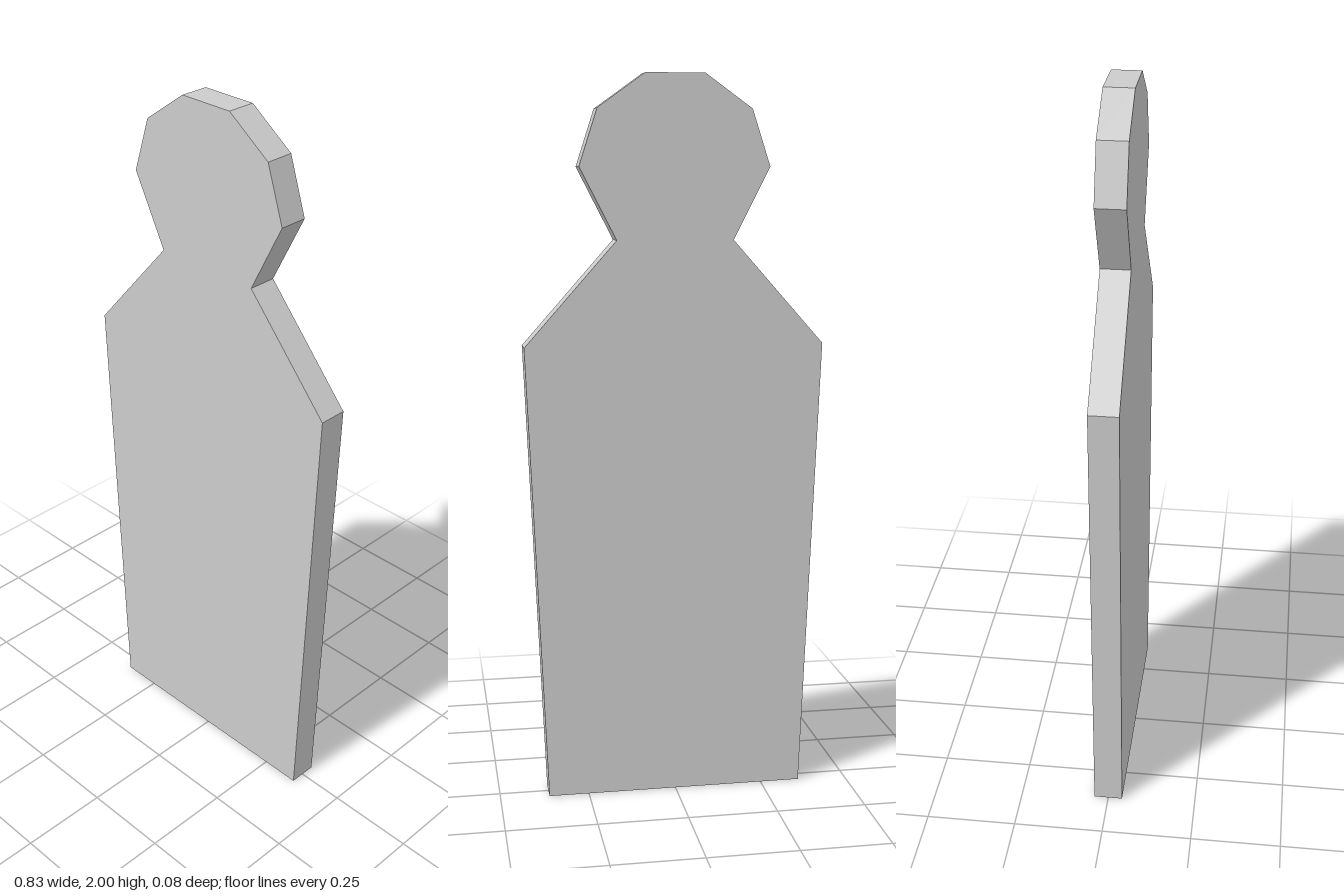
import * as THREE from 'three';

const DEPTH = 0.08;

// Right half of the outline, from the foot up to the crown
const HALF = [
  [0.362, 0],      // base corner
  [0.413, 1.275],  // shoulder
  [0.16, 1.56],    // neck
  [0.26, 1.755],   // cheek
  [0.21, 1.908],   // temple
  [0.081, 2],      // crown
];

export function createModel() {
  const group = new THREE.Group();
  group.name = 'silhouetteTarget';

  // Mirror the half outline into a closed, counter-clockwise shape
  const mirrored = HALF.map(([x, y]) => [-x, y]).reverse();
  const outline = [...HALF, ...mirrored].map(([x, y]) => new THREE.Vector2(x, y));

  // Flat board cut to the outline, centred on z = 0
  const geometry = new THREE.ExtrudeGeometry(new THREE.Shape(outline), {
    depth: DEPTH,
    bevelEnabled: false,
  });
  geometry.translate(0, 0, -DEPTH / 2);

  const material = new THREE.MeshStandardMaterial({ color: 0xcccccc, flatShading: true });
  const board = new THREE.Mesh(geometry, material);
  board.name = 'silhouetteBoard';
  group.add(board);

  return group;
}
